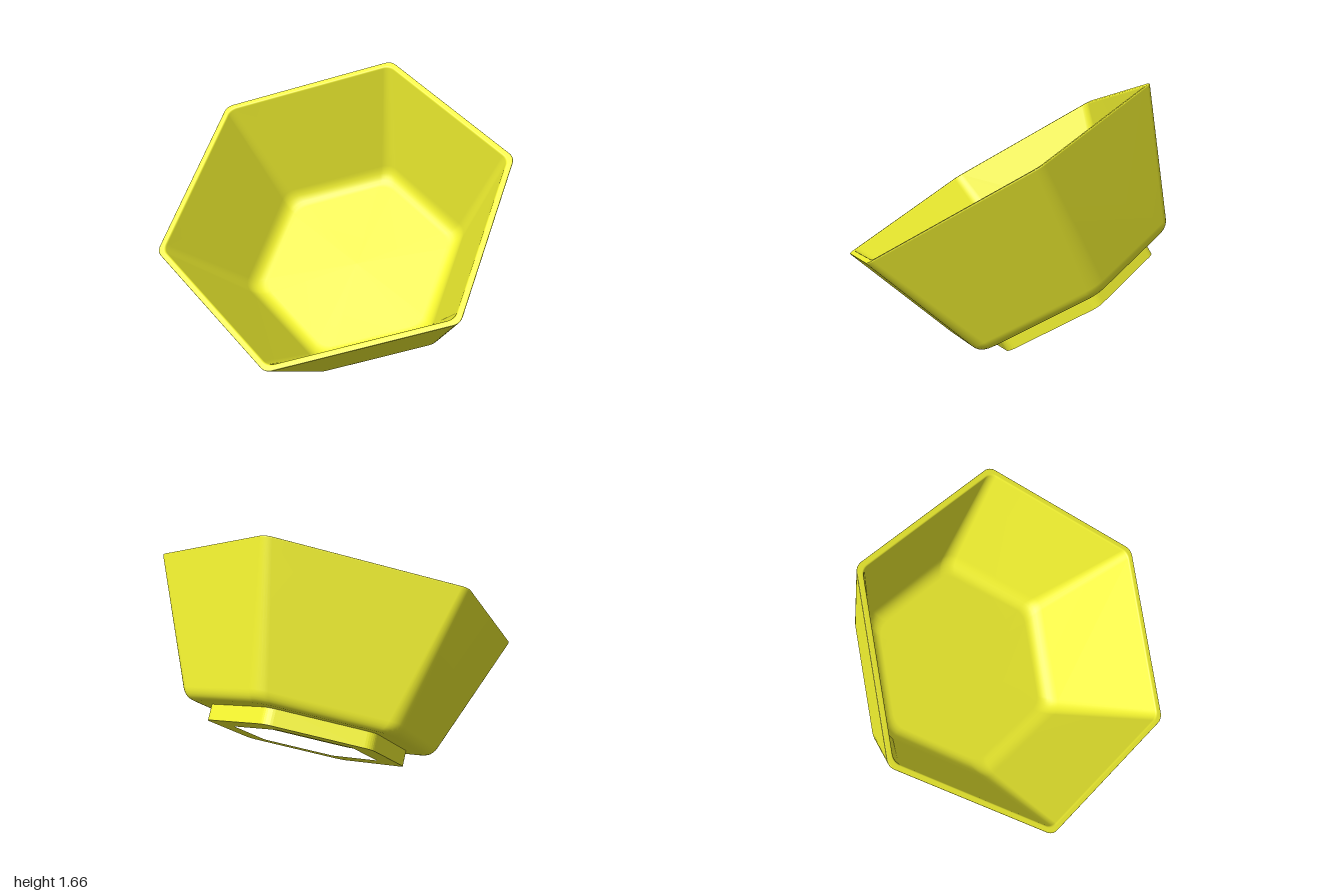
import * as THREE from 'three';

const SEG = 6; // steps in each rounded corner

// Hexagon with rounded corners, one corner on +z; returns [x, z] pairs
function hexRing(R, r) {
  const pts = [];
  const fillet = Math.min(r, R * 0.8);
  const c = R - fillet / Math.cos(Math.PI / 6);
  for (let k = 0; k < 6; k++) {
    const a = (k * Math.PI) / 3;
    for (let s = 0; s <= SEG; s++) {
      const t = a + (s / SEG - 0.5) * (Math.PI / 3);
      pts.push([c * Math.sin(a) + fillet * Math.sin(t), c * Math.cos(a) + fillet * Math.cos(t)]);
    }
  }
  return pts;
}

// Skin a profile (corner radius, height) with rounded hexagon rings
function hexLoft(profile, filletAt) {
  const pos = [], idx = [];
  const n = 6 * (SEG + 1);
  profile.forEach((p, i) => {
    for (const [x, z] of hexRing(p.x, filletAt(p.y))) pos.push(x, p.y, z);
    if (i === profile.length - 1) return;
    for (let j = 0; j < n; j++) {
      const a = i * n + j, b = i * n + ((j + 1) % n);
      idx.push(a, b, a + n, b, b + n, a + n);
    }
  });
  const g = new THREE.BufferGeometry();
  g.setAttribute('position', new THREE.Float32BufferAttribute(pos, 3));
  g.setIndex(idx);
  g.computeVertexNormals();
  return g;
}

export function createModel() {
  const model = new THREE.Group();
  model.name = 'tiltedHexBowl';
  const material = new THREE.MeshStandardMaterial({ color: 0xf2f230 });

  // Bowl: underside, outer wall, rim, inner wall, floor
  const path = new THREE.Path();
  path.moveTo(0, -0.81);
  path.lineTo(0.715, -0.81);
  path.quadraticCurveTo(0.775, -0.81, 0.8, -0.75);
  path.lineTo(1.104, -0.01);
  path.quadraticCurveTo(1.108, 0, 1.098, 0);
  path.lineTo(1.074, 0);
  path.quadraticCurveTo(1.064, 0, 1.06, -0.01);
  path.lineTo(0.745, -0.66);
  path.quadraticCurveTo(0.705, -0.745, 0.62, -0.745);
  path.lineTo(0, -0.745);
  const bowl = new THREE.Mesh(
    hexLoft(path.getPoints(6), (y) => 0.07 - 0.06 * y), material);
  bowl.name = 'bowl';

  // Foot: rounded hexagonal ring with a sharp hexagonal recess
  const shape = new THREE.Shape(hexRing(0.61, 0.08).map(([x, z]) => new THREE.Vector2(x, z)));
  const hole = [];
  for (let k = 0; k < 6; k++) {
    const a = (k * Math.PI) / 3;
    hole.push(new THREE.Vector2(0.44 * Math.sin(a), 0.44 * Math.cos(a)));
  }
  shape.holes.push(new THREE.Path(hole));
  const footGeo = new THREE.ExtrudeGeometry(shape, { depth: 0.105, bevelEnabled: false });
  footGeo.rotateX(Math.PI / 2);
  footGeo.translate(0, -0.8, 0);
  const foot = new THREE.Mesh(footGeo, material);
  foot.name = 'foot';

  // The whole bowl leans forward
  const tilted = new THREE.Group();
  tilted.name = 'tiltedBody';
  tilted.add(bowl, foot);
  tilted.rotation.x = 0.556;
  tilted.position.set(0, 1.087, 0.065);
  model.add(tilted);
  return model;
}
